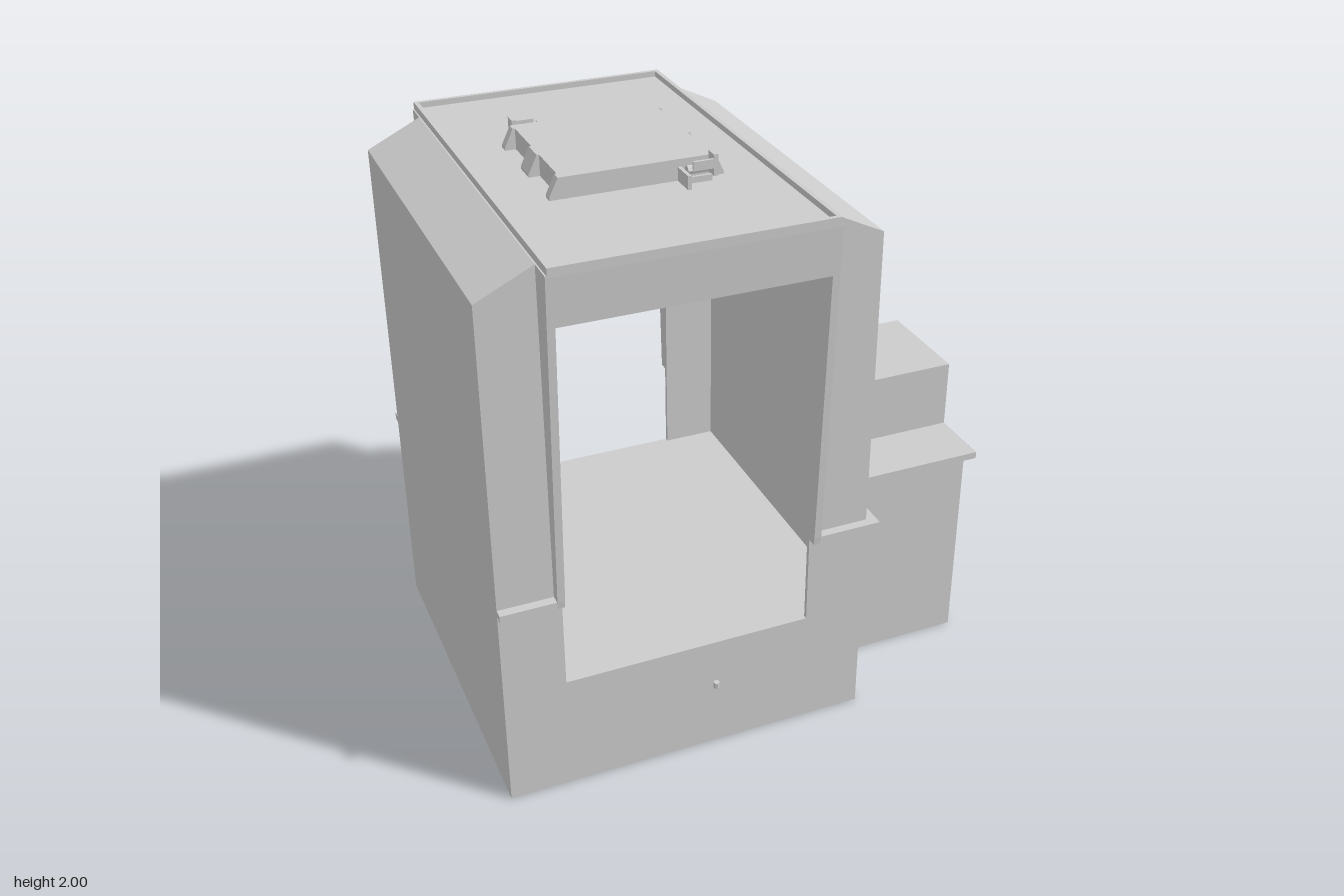
import * as THREE from 'three';

export function createModel() {
  const mat = new THREE.MeshStandardMaterial({ color: 0xcccccc, flatShading: true, side: THREE.DoubleSide });
  const model = new THREE.Group();
  model.name = 'machineEnclosure';
  const body = new THREE.Group();
  body.name = 'enclosure';
  body.position.z = -0.075; // the housing is symmetric about this plane
  model.add(body);

  const add = (name, geo, parent = body) => {
    const m = new THREE.Mesh(geo, mat);
    m.name = name;
    parent.add(m);
    return m;
  };
  const box = (name, x0, x1, y0, y1, z0, z1, parent = body) => {
    const g = new THREE.BoxGeometry(x1 - x0, y1 - y0, z1 - z0);
    g.translate((x0 + x1) / 2, (y0 + y1) / 2, (z0 + z1) / 2);
    return add(name, g, parent);
  };
  const shapeOf = pts => new THREE.Shape(pts.map(p => new THREE.Vector2(...p)));
  // Outline in x,y extruded along z
  const extrudeZ = (name, pts, hole, z0, z1) => {
    const s = shapeOf(pts);
    if (hole) s.holes.push(new THREE.Path(hole.map(p => new THREE.Vector2(...p))));
    const g = new THREE.ExtrudeGeometry(s, { depth: z1 - z0, bevelEnabled: false });
    g.translate(0, 0, z0);
    return add(name, g);
  };
  // Outline in z,y extruded along x
  const extrudeX = (name, pts, x0, x1) => {
    const g = new THREE.ExtrudeGeometry(shapeOf(pts.map(([z, y]) => [-z, y])), { depth: x1 - x0, bevelEnabled: false });
    g.rotateY(Math.PI / 2);
    g.translate(x0, 0, 0);
    return add(name, g);
  };

  // Hollow housing with chamfered shoulders and a rectangular opening at both ends
  const D = 0.64, T = 0.015;
  const outer = [[-0.925, 0], [0.355, 0], [0.355, 1.82], [0.17, 1.91], [-0.74, 1.91], [-0.925, 1.82]];
  const inner = [[-0.905, 0.425], [0.335, 0.425], [0.335, 1.805], [0.165, 1.89], [-0.735, 1.89], [-0.905, 1.805]];
  const opening = [[-0.715, 0.425], [0.145, 0.425], [0.145, 1.745], [-0.715, 1.745]];
  extrudeZ('housingShell', outer, inner, -D + T, D - T);
  extrudeZ('frontWall', outer, opening, D - T, D);
  extrudeZ('backWall', outer, opening, -D, -D + T);

  // Flared surround of each opening, and the ledge beside it
  for (const s of [1, -1]) {
    const end = s > 0 ? 'front' : 'back';
    const fin = [[s * D, 0.75], [s * 0.672, 0.75], [s * 0.675, 0.775], [s * 0.728, 1.91], [s * D, 1.91]];
    extrudeX(end + 'SurroundRight', fin, -0.74, -0.715);
    extrudeX(end + 'SurroundLeft', fin, 0.145, 0.17);
    extrudeX(end + 'Lintel', [[s * D, 1.745], [s * 0.72, 1.745], [s * 0.728, 1.91], [s * D, 1.91]], -0.715, 0.145);
    const z0 = Math.min(s * D, s * 0.672), z1 = Math.max(s * D, s * 0.672);
    box(end + 'LedgeRight', -0.925, -0.74, 0.75, 0.775, z0, z1);
    box(end + 'LedgeLeft', 0.17, 0.39, 0.75, 0.775, z0, z1);
    // Side ledge running from the corner to the annex
    box(end + 'SideLedge', 0.355, 0.39, 0.75, 0.775, Math.min(s * 0.415, s * D), Math.max(s * 0.415, s * D));
  }

  // Roof deck with a raised rim
  box('roofDeck', -0.735, 0.165, 1.905, 1.915, -0.73, 0.73);
  for (const s of [1, -1]) {
    const zc = s * 0.7225, xc = -0.285 + s * 0.4425;
    box('roofRimEnd', -0.735, 0.165, 1.905, 1.935, zc - 0.0075, zc + 0.0075);
    box('roofRimSide', xc - 0.0075, xc + 0.0075, 1.905, 1.935, -0.715, 0.715);
  }

  // Side annex with a raised cover and its hanging trim
  box('annex', 0.355, 0.89, 0, 0.76, -0.385, 0.385);
  box('annexRaisedCore', 0.355, 0.89, 0.75, 1.01, -0.17, 0.17);
  extrudeX('annexCover', [
    [0.415, 0.75], [0.415, 0.775], [0.19, 0.775], [0.19, 1.02], [-0.19, 1.02], [-0.19, 0.775],
    [-0.415, 0.775], [-0.415, 0.75], [-0.167, 0.75], [-0.167, 0.997], [0.167, 0.997], [0.167, 0.75],
  ], 0.355, 0.92);
  for (const z of [-0.1785, 0.1785])
    box('annexTrimLeg', 0.89, 0.92, 0.43, 0.76, z - 0.0115, z + 0.0115);

  // Roof hatch: plate, sloped lugs along two sides, a latch at opposite corners
  const hatch = new THREE.Group();
  hatch.name = 'roofHatch';
  hatch.position.set(-0.2825, 0, 0);
  body.add(hatch);
  box('hatchPlate', -0.2475, 0.2475, 1.91, 1.985, -0.2425, 0.2425, hatch);
  for (const turn of [0, Math.PI]) {
    const half = new THREE.Group();
    half.name = 'hatchSide';
    half.rotation.y = turn;
    hatch.add(half);
    for (const [z, w] of [[-0.226, 0.033], [0, 0.08], [0.226, 0.033]]) {
      const g = new THREE.ExtrudeGeometry(
        shapeOf([[0.2475, 1.912], [0.284, 1.912], [0.284, 1.925], [0.255, 1.985], [0.2475, 1.985]]),
        { depth: w, bevelEnabled: false });
      g.translate(0, 0, z - w / 2);
      add('hatchLug', g, half);
    }
    // Latch: arm, foot, plates and pin
    box('latchArm', 0.232, 0.2475, 1.93, 2.0, 0.2425, 0.285, half);
    box('latchPlate', 0.165, 0.2475, 1.955, 1.985, 0.275, 0.285, half);
    box('latchFoot', 0.13, 0.142, 1.915, 1.96, 0.2425, 0.325, half);
    box('latchFootPlate', 0.13, 0.21, 1.935, 1.955, 0.315, 0.325, half);
    const pin = new THREE.CylinderGeometry(0.015, 0.015, 0.07, 8);
    pin.rotateZ(Math.PI / 2);
    pin.translate(0.185, 1.955, 0.265);
    add('latchPin', pin, half);
  }

  // Small marker peg in front of the opening
  const peg = add('frontPeg', new THREE.CylinderGeometry(0.01, 0.01, 0.02, 8));
  peg.position.set(-0.285, 0.45, 0.865);

  return model;
}
